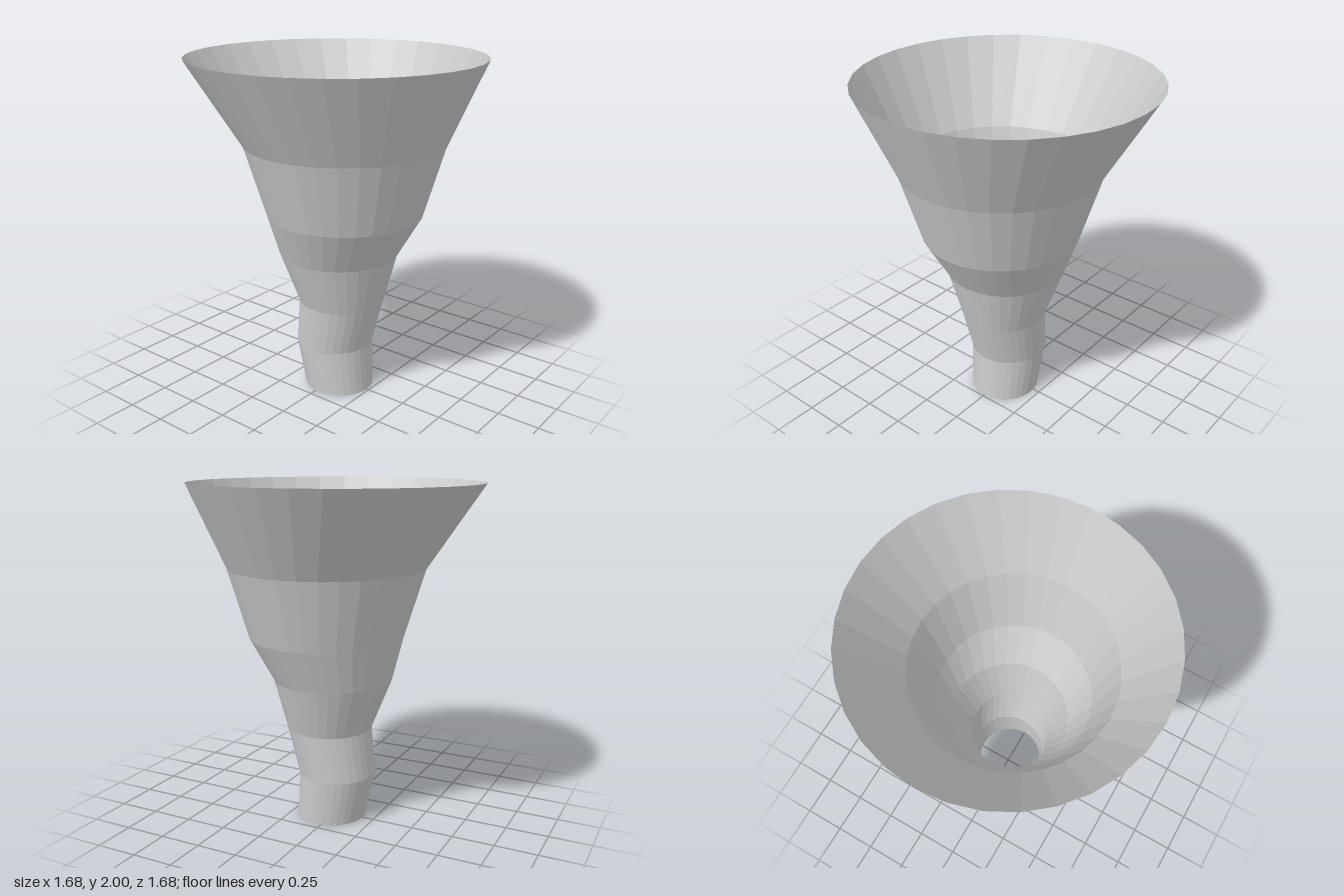
import * as THREE from 'three';

// Rings from bottom to top: height, radius, z of the centre
const RINGS = [
  [0, 0.207, 0.028],
  [0.28, 0.23, -0.01],
  [0.56, 0.253, 0.042],
  [0.86, 0.35, 0.02],
  [1.11, 0.453, 0.063],
  [1.52, 0.575, 0.06],
  [2, 0.838, 0],
];
const SIDES = 32;

export function createModel() {
  const group = new THREE.Group();
  group.name = 'funnel';

  // Flared open tube, each ring shifted along z to make the wall wobble
  const geometry = new THREE.LatheGeometry(RINGS.map(([y, r]) => new THREE.Vector2(r, y)), SIDES);
  const position = geometry.attributes.position;
  for (let i = 0; i < position.count; i++) {
    const ring = RINGS[i % RINGS.length];
    position.setZ(i, position.getZ(i) + ring[2]);
  }
  geometry.computeVertexNormals();

  const material = new THREE.MeshStandardMaterial({
    color: 0xcccccc,
    flatShading: true,
    side: THREE.DoubleSide,
  });
  const wall = new THREE.Mesh(geometry, material);
  wall.name = 'funnelWall';
  group.add(wall);
  return group;
}
